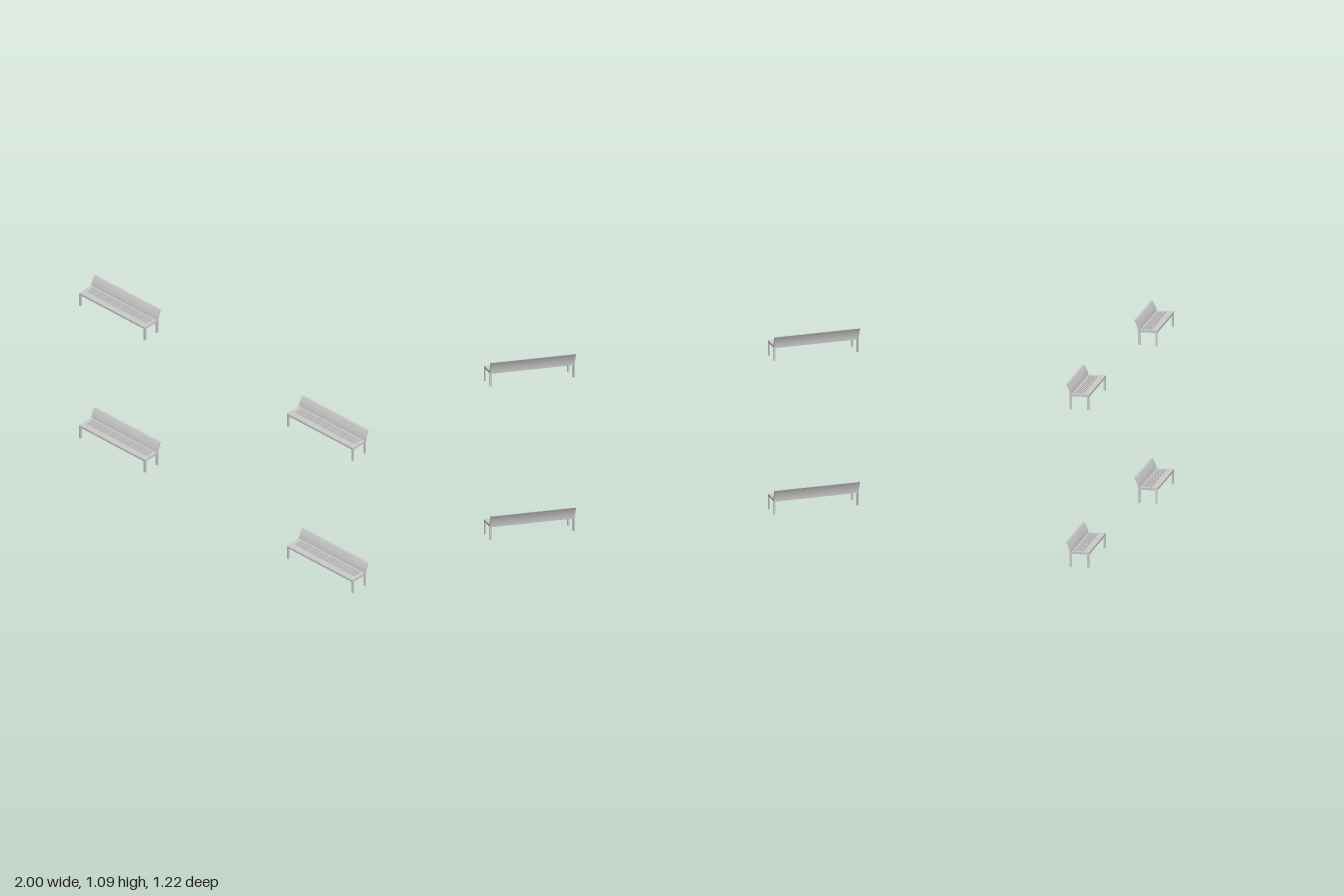
import * as THREE from 'three';

const LENGTH = 0.518, HALF = LENGTH / 2;
const SEAT_BOTTOM = 0.077, SEAT_TOP = 0.09, BACK_TOP = 0.149;
const FRONT = 0.0685, REAR = -0.046;
const LEG_W = 0.01, LEG_D = 0.0125;

const material = new THREE.MeshStandardMaterial({ color: 0xcccccc });

function addMesh(parent, name, geometry) {
  const mesh = new THREE.Mesh(geometry, material);
  mesh.name = name;
  parent.add(mesh);
  return mesh;
}

// Rectangle outline, used for the seat slab and its slots
function rectangle(path, x0, y0, x1, y1) {
  path.moveTo(x0, y0);
  path.lineTo(x1, y0);
  path.lineTo(x1, y1);
  path.lineTo(x0, y1);
  path.closePath();
  return path;
}

// Flat slab pierced by long narrow slots
function seatGeometry() {
  const shape = rectangle(new THREE.Shape(), -HALF, -FRONT, HALF, -REAR);
  for (let i = 0; i < 6; i++) {
    const z = 0.027 - i * 0.0095;
    shape.holes.push(rectangle(new THREE.Path(), -0.237, -z - 0.0018, 0.237, -z + 0.0018));
  }
  const geometry = new THREE.ExtrudeGeometry(shape, { depth: SEAT_TOP - SEAT_BOTTOM, bevelEnabled: false });
  return geometry.rotateX(-Math.PI / 2).translate(0, SEAT_BOTTOM, 0);
}

// Curved, backward leaning panel: side profile in (z, y) run along the length
function backGeometry() {
  const profile = new THREE.Shape();
  profile.moveTo(REAR, SEAT_BOTTOM);
  profile.lineTo(-0.034, SEAT_BOTTOM);
  profile.lineTo(-0.034, SEAT_TOP);
  profile.quadraticCurveTo(-0.038, 0.115, -0.057, BACK_TOP);
  profile.lineTo(-0.0685, BACK_TOP);
  profile.quadraticCurveTo(-0.049, 0.115, REAR, SEAT_BOTTOM);
  const geometry = new THREE.ExtrudeGeometry(profile, { depth: LENGTH, bevelEnabled: false, curveSegments: 6 });
  return geometry.rotateY(-Math.PI / 2).translate(HALF, 0, 0);
}

function createBench() {
  const bench = new THREE.Group();
  addMesh(bench, 'seat', seatGeometry());
  addMesh(bench, 'backrest', backGeometry());
  // Legs flush with the seat corners
  for (const side of [-1, 1]) {
    const x = side * (HALF - LEG_W / 2);
    for (const [name, z] of [['frontLeg', FRONT - LEG_D / 2], ['rearLeg', REAR + LEG_D / 2]]) {
      const leg = addMesh(bench, name, new THREE.BoxGeometry(LEG_W, SEAT_BOTTOM, LEG_D));
      leg.position.set(x, SEAT_BOTTOM / 2, z);
    }
  }
  return bench;
}

export function createModel() {
  const model = new THREE.Group();
  model.name = 'benches';
  const bench = createBench();
  // Two benches on each of two levels, all turned the same way
  for (const y of [0, 0.936]) {
    for (const side of [-1, 1]) {
      const copy = bench.clone();
      copy.name = (y ? 'upper' : 'lower') + (side > 0 ? 'Left' : 'Right') + 'Bench';
      copy.position.set(side * 0.739, y, side * 0.43);
      copy.rotation.y = -THREE.MathUtils.degToRad(27.6);
      model.add(copy);
    }
  }
  return model;
}
